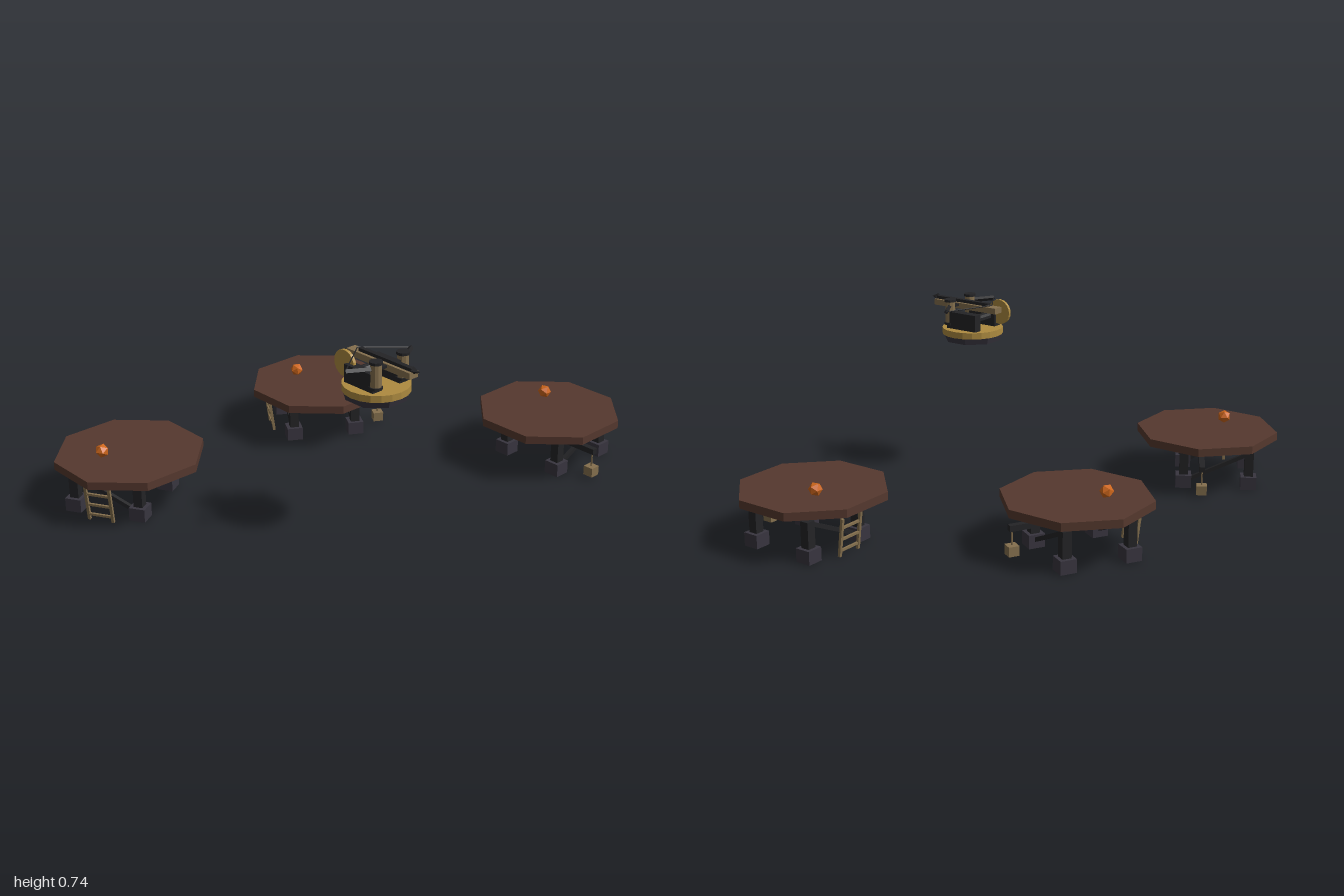
import * as THREE from 'three';

const mat = (color) => new THREE.MeshStandardMaterial({ color, flatShading: true });
const M = {
  deck: mat(0x55382e), foot: mat(0x38353f), dark: mat(0x242426),
  wood: mat(0x85704e), gold: mat(0xae8b40), ember: mat(0xcf671c),
};

function add(parent, name, geo, material, x = 0, y = 0, z = 0) {
  const mesh = new THREE.Mesh(geo, material);
  mesh.name = name;
  mesh.position.set(x, y, z);
  parent.add(mesh);
  return mesh;
}
const box = (w, h, d) => new THREE.BoxGeometry(w, h, d);
const cyl = (rTop, rBottom, h, sides) => new THREE.CylinderGeometry(rTop, rBottom, h, sides);

// Square or round bar between two points
function bar(parent, name, a, b, size, material, sides = 0) {
  const from = new THREE.Vector3(...a), to = new THREE.Vector3(...b);
  const dir = to.clone().sub(from), len = dir.length();
  const mesh = add(parent, name, sides ? cyl(size / 2, size / 2, len, sides) : box(size, len, size), material);
  mesh.position.copy(from).lerp(to, 0.5);
  mesh.quaternion.setFromUnitVectors(new THREE.Vector3(0, 1, 0), dir.normalize());
  return mesh;
}

function createPlatform(angle) {
  const g = new THREE.Group();
  g.name = 'platform';

  // Octagonal deck keeps its flats square to the axes
  const deck = add(g, 'deck', cyl(0.29, 0.29, 0.032, 8), M.deck, 0, 0.194, 0);
  deck.rotation.y = Math.PI / 8;

  // Everything else turns with the platform's bearing
  const fit = new THREE.Group();
  fit.name = 'fittings';
  fit.rotation.y = angle;
  g.add(fit);

  add(fit, 'lamp', new THREE.IcosahedronGeometry(0.027, 0), M.ember, -0.083, 0.236, -0.074);

  // Legs with block feet, and a diagonal brace on each side
  for (const x of [-0.131, 0.131]) {
    for (const z of [0.092, -0.172]) {
      add(fit, 'foot', box(0.064, 0.053, 0.064), M.foot, x, 0.0265, z);
      add(fit, 'legPost', box(0.036, 0.105, 0.036), M.dark, x, 0.103, z);
    }
    bar(fit, 'brace', [x, 0.03, 0.07], [x, 0.147, -0.172], 0.016, M.dark);
  }

  // Leaning ladder
  const railX = (y) => -0.2 - 0.13 * y;
  for (const z of [0.012, -0.085]) {
    bar(fit, 'ladderRail', [railX(0.005), 0.005, z], [railX(0.155), 0.155, z], 0.011, M.wood);
  }
  for (const y of [0.028, 0.072, 0.118]) {
    add(fit, 'ladderRung', box(0.009, 0.009, 0.1), M.wood, railX(y), y, -0.036);
  }

  // Hoist arm with a hanging crate
  add(fit, 'hoistArm', box(0.15, 0.023, 0.023), M.dark, 0.187, 0.115, 0.02);
  add(fit, 'hoistRope', cyl(0.003, 0.003, 0.065, 6), M.wood, 0.25, 0.077, 0.02);
  add(fit, 'crate', box(0.042, 0.038, 0.042), M.wood, 0.25, 0.029, 0.02);
  return g;
}

function createTurret() {
  const g = new THREE.Group();
  g.name = 'turret';

  // Turntable
  const base = add(g, 'base', cyl(0.125, 0.117, 0.026, 8), M.foot, 0, 0.582, 0);
  base.rotation.y = Math.PI / 8;
  add(g, 'turntable', cyl(0.125, 0.125, 0.026, 20), M.gold, 0, 0.608, 0);

  for (const s of [-1, 1]) {
    // Side cheek and spring bundle with caps
    add(g, 'cheek', box(0.145, 0.07, 0.036), M.dark, -0.005, 0.655, s * 0.066);
    add(g, 'springBundle', cyl(0.021, 0.021, 0.09, 10), M.wood, 0.064, 0.686, s * 0.066);
    for (const y of [0.639, 0.734]) {
      add(g, 'springCap', cyl(0.025, 0.025, 0.01, 10), M.dark, 0.064, y, s * 0.066);
    }
    // Bow limb and string
    bar(g, 'bowLimb', [0.07, 0.71, s * 0.06], [0.01, 0.71, s * 0.16], 0.014, M.dark);
    bar(g, 'bowString', [0.01, 0.71, s * 0.16], [-0.1, 0.722, 0], 0.005, M.dark, 5);
  }
  add(g, 'crossbar', box(0.018, 0.01, 0.14), M.dark, 0.064, 0.708, 0);

  // Slide rail carrying the bolt
  add(g, 'slideRail', box(0.315, 0.024, 0.042), M.wood, 0.025, 0.704, 0);
  add(g, 'boltShaft', box(0.265, 0.013, 0.018), M.dark, 0.048, 0.722, 0);
  const tip = add(g, 'boltTip', cyl(0, 0.015, 0.032, 4), M.dark, 0.195, 0.722, 0);
  tip.rotation.z = -Math.PI / 2;

  // Winding wheel with its axle
  const wheel = add(g, 'windingWheel', cyl(0.051, 0.051, 0.012, 20), M.gold, -0.093, 0.683, 0.064);
  wheel.rotation.x = Math.PI / 2;
  const axle = add(g, 'winchAxle', cyl(0.018, 0.018, 0.15, 10), M.dark, -0.043, 0.661, 0);
  axle.rotation.x = Math.PI / 2;
  return g;
}

export function createModel() {
  const model = new THREE.Group();
  model.name = 'platformsAndTurret';
  const cx = 0.418, cz = 0.245, ring = 0.977;

  const turret = createTurret();
  turret.position.set(cx, 0, cz);
  model.add(turret);

  // Platforms sit on a ring round the turret, sixty degrees apart
  for (let i = 0; i < 3; i++) {
    const a = (i * Math.PI) / 3;
    const p = createPlatform(a);
    p.position.set(cx - ring * Math.sin(a), 0, cz - ring * Math.cos(a));
    model.add(p);
  }
  return model;
}
